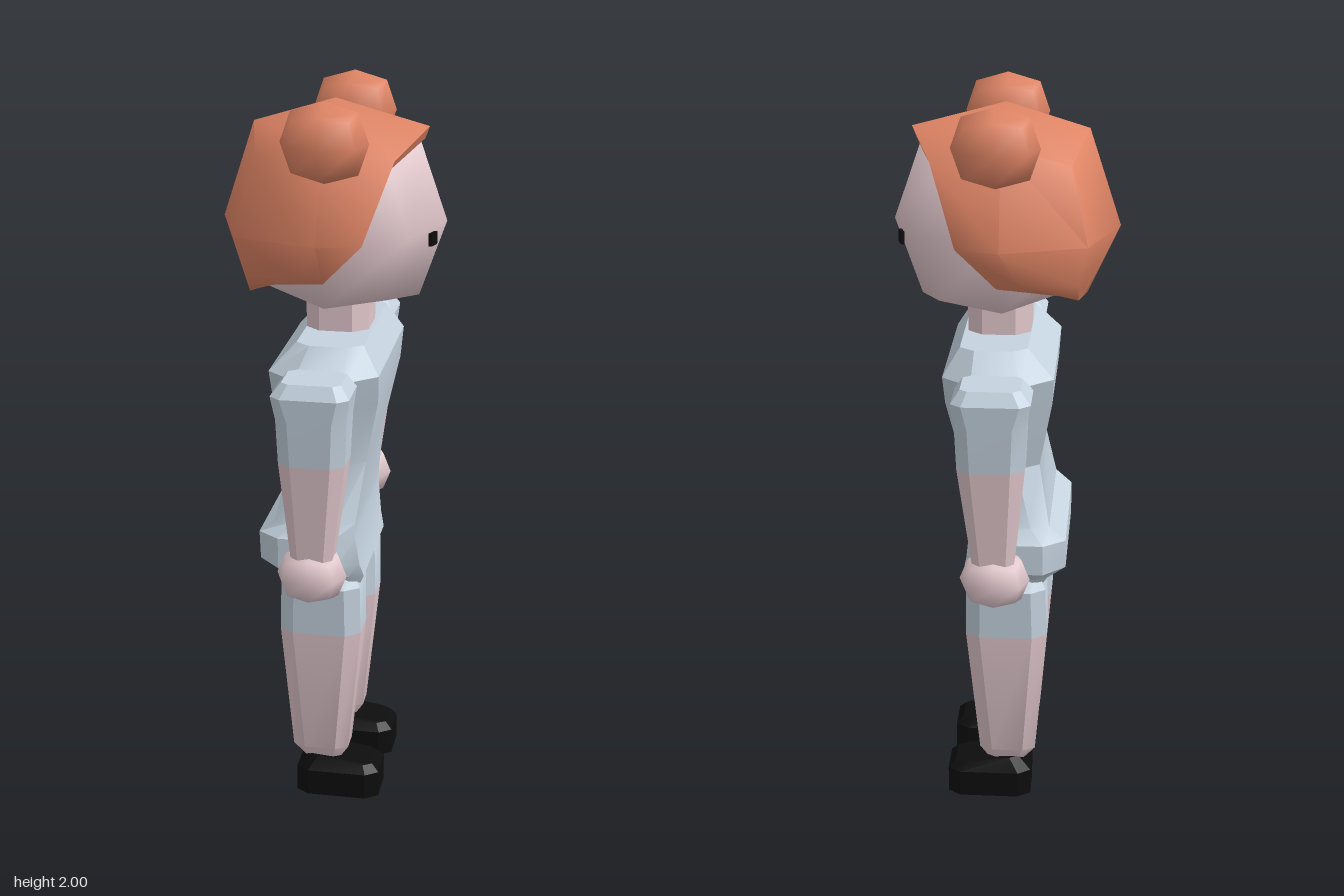
import * as THREE from 'three';
import { mergeVertices, toCreasedNormals } from 'three/addons/utils/BufferGeometryUtils.js';

const paint = (name, color) => {
  const m = new THREE.MeshStandardMaterial({ color });
  m.name = name;
  return m;
};

// Skin over a list of closed rings of [x, y, z] points, with fan caps if asked
function loft(rings, capped, crease) {
  const pos = [];
  const n = rings[0].length;
  const tri = (a, b, c) => pos.push(...a, ...b, ...c);
  for (let j = 0; j < rings.length - 1; j++) {
    for (let i = 0; i < n; i++) {
      const k = (i + 1) % n;
      const a = rings[j][i], b = rings[j][k], c = rings[j + 1][k], d = rings[j + 1][i];
      tri(a, b, c);
      tri(a, c, d);
    }
  }
  if (capped) {
    const lo = rings[0], hi = rings[rings.length - 1];
    for (let i = 1; i < n - 1; i++) {
      tri(lo[0], lo[i + 1], lo[i]);
      tri(hi[0], hi[i], hi[i + 1]);
    }
  }
  const g = new THREE.BufferGeometry();
  g.setAttribute('position', new THREE.Float32BufferAttribute(pos, 3));
  return toCreasedNormals(g, crease);
}

// Rectangle with cut corners at height y, from xb to xf, half width w, flat front half width f
const section = ([y, xb, xf, w, f, c], zc = 0) => [
  [xf, y, zc + f], [xf, y, zc - f], [xf - c, y, zc - w], [xb + c, y, zc - w],
  [xb, y, zc - f], [xb, y, zc + f], [xb + c, y, zc + w], [xf - c, y, zc + w],
];
const block = (rows, zc = 0) => loft(rows.map((r) => section(r, zc)), true, 0.5);

// Ball made from a once-divided cube; place() maps each corner sign triple to a point
function cubeBall(place) {
  let g = new THREE.BoxGeometry(2, 2, 2, 2, 2, 2);
  g.deleteAttribute('normal');
  g.deleteAttribute('uv');
  g = mergeVertices(g);
  const p = g.attributes.position;
  for (let i = 0; i < p.count; i++) {
    const a = Math.round(p.getX(i)), b = Math.round(p.getY(i)), c = Math.round(p.getZ(i));
    p.setXYZ(i, ...place(a, b, c, Math.abs(a) + Math.abs(b) + Math.abs(c)));
  }
  g.computeVertexNormals();
  return g;
}
const ball = (rx, ry, rz) => cubeBall((a, b, c, n) => {
  const f = [0, 1, 0.76, 0.62][n];
  return [a * rx * f, b * ry * f, c * rz * f];
});

export function createModel() {
  const skin = paint('skin', 0xe3c9ce);
  const cloth = paint('cloth', 0xc5d3df);
  const hair = paint('hair', 0xe08565);
  hair.side = THREE.DoubleSide;
  const black = paint('black', 0x0d0d0d);

  const model = new THREE.Group();
  const add = (name, geo, mat, x = 0, y = 0, z = 0) => {
    const m = new THREE.Mesh(geo, mat);
    m.name = name;
    m.position.set(x, y, z);
    model.add(m);
    return m;
  };

  // Head, slightly flattened at the jaw and crown
  add('head', cubeBall((a, b, c, n) => [
    a * [0, 0.3, 0.228, 0.165][n] * (a < 0 ? 0.92 : 1),
    b * [0, 0.22, 0.207, 0.176][n] * (a < 0 && b < 0 ? 0.85 : 1),
    c * [0, 0.255, a ? 0.213 : 0.18, 0.177][n],
  ]), skin, 0, 1.65, 0);

  // Hair cap: half rings from crown to nape, mirrored, running from back to face
  const mirrored = (half) => [
    ...half,
    ...half.slice(1, -1).reverse().map(([x, y, z]) => [x, y, -z]),
  ];
  const pole = Array(6).fill([-0.305, 1.64, 0]);
  const rear = [[-0.22, 1.9, 0], [-0.18, 1.84, 0.18], [-0.225, 1.64, 0.235],
    [-0.2, 1.53, 0.215], [-0.2, 1.48, 0.17], [-0.22, 1.455, 0]];
  const middle = [[0.0, 1.967, 0], [0.0, 1.89, 0.205], [0.0, 1.64, 0.308],
    [-0.05, 1.545, 0.27], [-0.17, 1.495, 0.19], [-0.2, 1.45, 0]];
  const rim = [[0.25, 1.9, 0], [0.185, 1.845, 0.19], [0.115, 1.64, 0.275],
    [0.01, 1.53, 0.25], [-0.15, 1.508, 0.2], [-0.19, 1.45, 0]];
  const inner = rim.map(([x, y, z]) => [x - 0.012, 1.65 + (y - 1.65) * 0.87, z * 0.87]);
  add('hairCap', loft([pole, rear, middle, rim, inner].map(mirrored), false, 0.95), hair);

  // Neck
  add('neck', block([
    [1.32, -0.07, 0.1, 0.09, 0.055, 0.04],
    [1.5, -0.07, 0.1, 0.09, 0.055, 0.04],
  ]), skin);

  // Tunic with narrow waist and a ledge around the hips
  add('torso', block([
    [0.66, -0.11, 0.1, 0.19, 0.17, 0.03],
    [0.685, -0.125, 0.11, 0.2, 0.18, 0.04],
    [0.725, -0.175, 0.1, 0.255, 0.195, 0.06],
    [0.81, -0.175, 0.09, 0.255, 0.21, 0.06],
    [0.85, -0.13, 0.09, 0.225, 0.21, 0.05],
    [1.01, -0.1, 0.11, 0.2, 0.155, 0.06],
    [1.2, -0.135, 0.15, 0.26, 0.205, 0.07],
    [1.28, -0.14, 0.155, 0.3, 0.23, 0.08],
    [1.355, -0.07, 0.11, 0.23, 0.2, 0.04],
  ]), cloth);

  for (const s of [1, -1]) {
    const side = s > 0 ? 'right' : 'left';

    // Hair bun
    add(side + 'Bun', ball(0.115, 0.105, 0.105), hair, 0.012, 1.895, s * 0.237);

    // Eye, lying flat on the face
    const eye = add(side + 'Eye', new THREE.BoxGeometry(0.009, 0.034, 0.034), black, 0.273, 1.62, s * 0.083);
    eye.rotation.y = -s * 0.32;

    // Arm: sleeve, forearm and hand
    const za = s * 0.387;
    add(side + 'Sleeve', block([
      [1.1, -0.075, 0.1, 0.072, 0.046, 0.035],
      [1.22, -0.08, 0.105, 0.08, 0.052, 0.035],
      [1.285, -0.092, 0.113, 0.084, 0.06, 0.028],
      [1.32, -0.065, 0.09, 0.062, 0.046, 0.02],
    ], za), cloth);
    add(side + 'Forearm', block([
      [0.8, -0.045, 0.06, 0.043, 0.025, 0.02],
      [1.1, -0.075, 0.1, 0.072, 0.046, 0.035],
    ], za), skin);
    add(side + 'Hand', ball(0.093, 0.074, 0.08), skin, 0.005, 0.775, s * 0.39);

    // Leg: shorts and shin
    const zl = s * 0.132;
    add(side + 'ShortsLeg', block([
      [0.51, -0.124, 0.102, 0.08, 0.05, 0.04],
      [0.65, -0.12, 0.1, 0.085, 0.055, 0.04],
      [0.69, -0.1, 0.08, 0.06, 0.04, 0.03],
    ], zl), cloth);
    add(side + 'Shin', block([
      [0.1, -0.06, 0.04, 0.035, 0.02, 0.02],
      [0.14, -0.092, 0.065, 0.053, 0.032, 0.035],
      [0.51, -0.124, 0.102, 0.08, 0.05, 0.04],
    ], zl), skin);

    // Shoe with a top sloping down to the toe
    const shoe = [
      [0, -0.08, 0.155, 0.077, 0.052, 0.035],
      [0.075, -0.08, 0.155, 0.077, 0.052, 0.035],
      [0.115, -0.045, 0.135, 0.058, 0.042, 0.025],
    ].map((r) => section(r, s * 0.128));
    for (const p of shoe[2]) if (p[0] > 0) p[1] = 0.096;
    add(side + 'Shoe', loft(shoe, true, 0.4), black);
  }
  return model;
}
